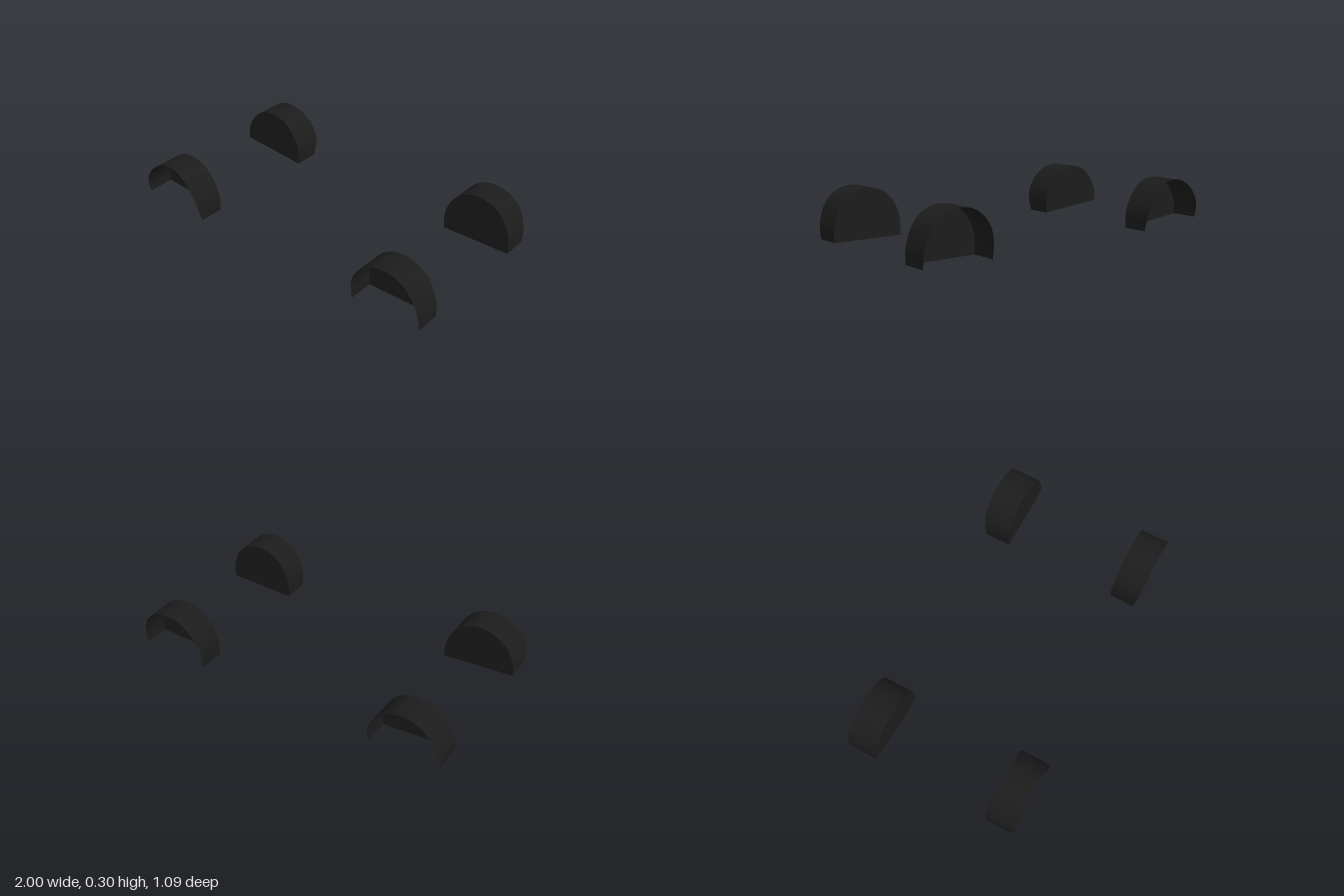
import * as THREE from 'three';
import { toCreasedNormals } from 'three/addons/utils/BufferGeometryUtils.js';

const INNER_Z = 0.356;

// Arch outlines: x, y, and z of the flared outer edge
const frontArch = [
  [0.57, 0, 0.51], [0.57, 0.09, 0.52], [0.59, 0.165, 0.528], [0.635, 0.23, 0.532],
  [0.7, 0.278, 0.532], [0.785, 0.295, 0.532], [0.855, 0.283, 0.532], [0.917, 0.25, 0.532],
  [0.963, 0.195, 0.53], [0.99, 0.125, 0.523], [1, 0.08, 0.518], [1, 0.005, 0.51],
];
const rearArch = [
  [-1, 0.05, 0.52], [-1, 0.11, 0.532], [-0.98, 0.17, 0.541], [-0.94, 0.23, 0.54],
  [-0.88, 0.277, 0.535], [-0.82, 0.297, 0.533], [-0.757, 0.297, 0.533], [-0.687, 0.275, 0.537],
  [-0.623, 0.22, 0.543], [-0.58, 0.15, 0.543], [-0.565, 0.09, 0.533], [-0.565, 0.008, 0.51],
];

const material = new THREE.MeshStandardMaterial({ color: 0x1c1c1c, side: THREE.DoubleSide });

// Curved strip from the inner panel out to the flared edge
function archStrip(points, side) {
  const pos = [], index = [];
  points.forEach((p, i) => {
    pos.push(p.x, p.y, side * INNER_Z, p.x, p.y, side * p.z);
    if (i === 0) return;
    const a = 2 * i - 2, b = a + 1, c = a + 2, d = a + 3;
    if (side > 0) index.push(a, b, c, b, d, c);
    else index.push(a, c, b, b, c, d);
  });
  const geo = new THREE.BufferGeometry();
  geo.setAttribute('position', new THREE.Float32BufferAttribute(pos, 3));
  geo.setIndex(index);
  return toCreasedNormals(geo, 0.6);
}

// Wheel arch liner: open outwards and downwards, closed by a flat inner panel
function makeLiner(name, outline, side) {
  const liner = new THREE.Group();
  liner.name = name;
  const curve = new THREE.CatmullRomCurve3(outline.map((p) => new THREE.Vector3(...p)));
  const points = curve.getPoints((outline.length - 1) * 3);

  const strip = new THREE.Mesh(archStrip(points, side), material);
  strip.name = 'archStrip';

  const shape = new THREE.Shape(points.map((p) => new THREE.Vector2(p.x, p.y)));
  const panel = new THREE.Mesh(new THREE.ShapeGeometry(shape), material);
  panel.name = 'innerPanel';
  panel.position.z = side * INNER_Z;

  liner.add(strip, panel);
  return liner;
}

export function createModel() {
  const model = new THREE.Group();
  model.name = 'wheelArchLiners';
  for (const side of [1, -1]) {
    const suffix = side > 0 ? 'Near' : 'Far';
    model.add(makeLiner('archLinerA' + suffix, frontArch, side));
    model.add(makeLiner('archLinerB' + suffix, rearArch, side));
  }
  return model;
}
